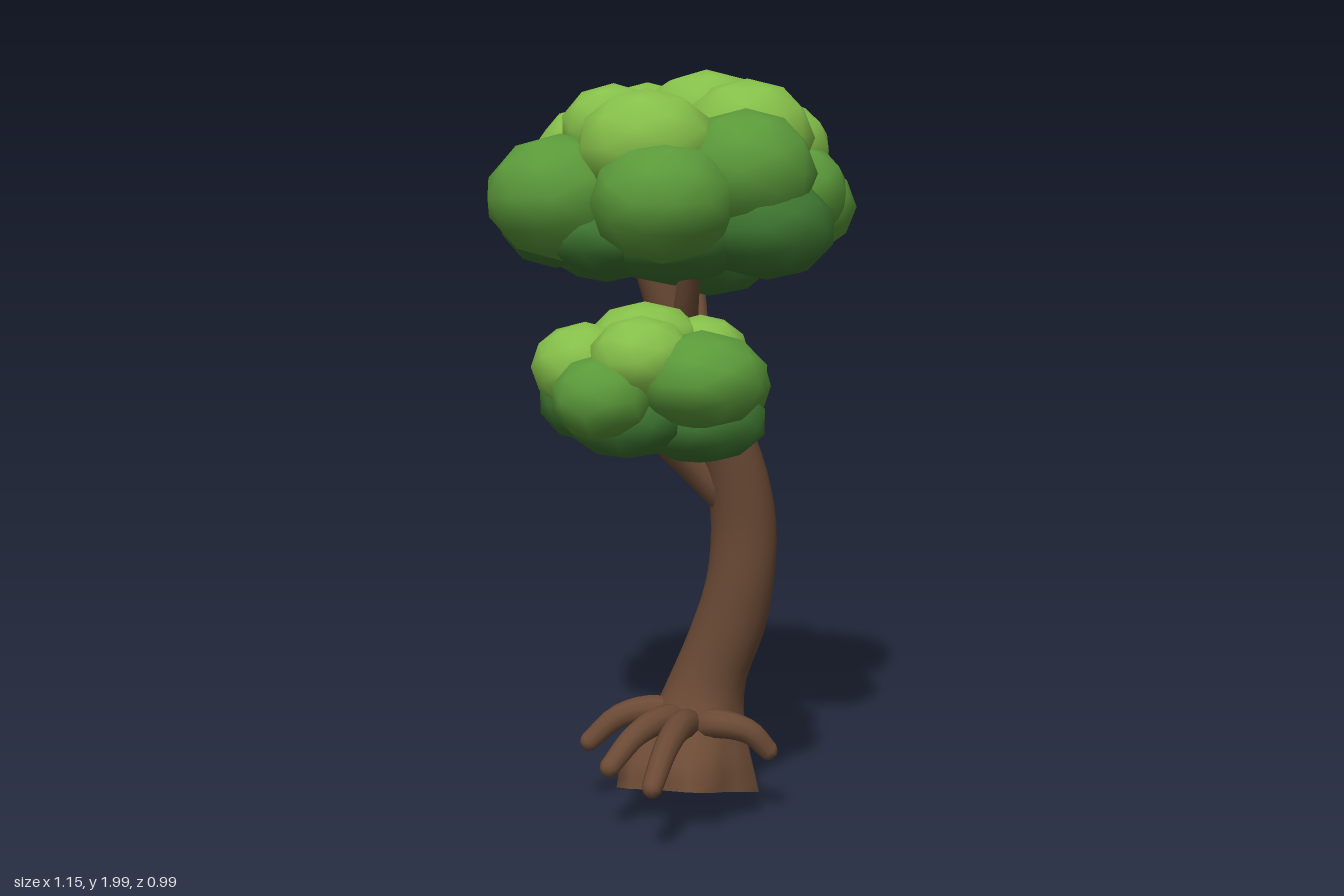
import * as THREE from 'three';
import { mergeVertices } from 'three/addons/utils/BufferGeometryUtils.js';

const V = (x, y, z) => new THREE.Vector3(x, y, z);
const paint = (color, side = THREE.FrontSide) => new THREE.MeshStandardMaterial({ color, side });
const BARK = paint(0x6b4a35), KNOT = paint(0x4a3024), MOSS = paint(0x7fb548, THREE.DoubleSide);
const LEAF = { light: paint(0x86c04a), mid: paint(0x5b9a3a), dark: paint(0x3d7530) };

function add(group, name, geometry, material) {
  const mesh = new THREE.Mesh(geometry, material);
  mesh.name = name;
  group.add(mesh);
  return mesh;
}

// Trunk stations from the ground up: x, y, z, radius
const STATIONS = [
  [0.015, 0.068, 0.07, 0.18], [0.025, 0.15, 0.06, 0.17], [0.07, 0.25, 0.06, 0.13],
  [0.1, 0.36, 0.078, 0.108], [0.12, 0.5, 0.128, 0.103], [0.12, 0.65, 0.17, 0.092],
  [0.115, 0.8, 0.183, 0.088], [0.083, 0.95, 0.178, 0.083], [0.035, 1.1, 0.15, 0.078],
  [-0.015, 1.23, 0.11, 0.067], [-0.06, 1.36, 0.072, 0.06], [-0.1, 1.52, 0.035, 0.055],
];
const spine = new THREE.CatmullRomCurve3(STATIONS.map(([x, y, z]) => V(x, y, z)));
const girth = new THREE.CatmullRomCurve3(STATIONS.map((s, i) => V(s[3], i * 0.1, 0)));

// Point on the bark: leaning footprint and five flutes that fade out upward
function barkPoint(t, a, lift = 0) {
  const foot = Math.max(0, 1 - t * 4);
  const r = girth.getPoint(t).x * (1 + 0.15 * foot * Math.cos(5 * a + 0.6)) + lift;
  const x = r * Math.cos(a), z = r * Math.sin(a);
  const p = spine.getPoint(t);
  return V(p.x + x, p.y - foot * (0.27 * x - 0.15 * z), p.z + z);
}

function indexed(points, index) {
  const g = new THREE.BufferGeometry().setFromPoints(points);
  g.setIndex(index);
  g.computeVertexNormals();
  return g;
}

function trunkGeometry(rows = 33, sides = 20) {
  const points = [], index = [];
  for (let i = 0; i <= rows; i++) {
    for (let j = 0; j < sides; j++) points.push(barkPoint(i / rows, (j / sides) * Math.PI * 2));
  }
  for (let i = 0; i < rows; i++) {
    for (let j = 0; j < sides; j++) {
      const k = (j + 1) % sides;
      const a = i * sides + j, b = i * sides + k, c = a + sides, d = b + sides;
      index.push(a, c, b, b, c, d);
    }
  }
  // Closed ends, each with its own rim so the edge stays sharp
  for (const row of [0, rows]) {
    const rim = points.length;
    for (let j = 0; j < sides; j++) points.push(points[row * sides + j].clone());
    points.push(spine.getPoint(row / rows));
    for (let j = 0; j < sides; j++) {
      const a = rim + j, b = rim + ((j + 1) % sides);
      if (row === 0) index.push(rim + sides, a, b);
      else index.push(rim + sides, b, a);
    }
  }
  return indexed(points, index);
}

// Ragged oval that hugs the bark
function mossGeometry(rings = 5, sides = 18) {
  const t0 = 0.466, a0 = -0.85;
  const points = [barkPoint(t0, a0, 0.008)], index = [];
  for (let i = 1; i <= rings; i++) {
    for (let j = 0; j < sides; j++) {
      const a = (j / sides) * Math.PI * 2;
      const s = (i / rings) * (1 + 0.1 * Math.sin(a * 5));
      const lift = i === rings ? -0.002 : 0.007;
      points.push(barkPoint(t0 + 0.072 * s * Math.sin(a), a0 + 0.8 * s * Math.cos(a), lift));
      const k = (j + 1) % sides, row = 1 + (i - 1) * sides;
      if (i === 1) index.push(0, 1 + k, 1 + j);
      else index.push(row - sides + j, row - sides + k, row + j, row - sides + k, row + k, row + j);
    }
  }
  return indexed(points, index);
}

// Tapered, round-ended limb along a curve
function limb(group, name, points, r0, r1) {
  const curve = new THREE.CatmullRomCurve3(points);
  const segs = 12, sides = 10;
  const g = new THREE.TubeGeometry(curve, segs, 1, sides);
  const pos = g.attributes.position, p = V(0, 0, 0);
  for (let i = 0; i <= segs; i++) {
    const c = curve.getPointAt(i / segs), r = r0 + (r1 - r0) * (i / segs);
    for (let j = 0; j <= sides; j++) {
      const k = i * (sides + 1) + j;
      p.fromBufferAttribute(pos, k).sub(c).multiplyScalar(r).add(c);
      pos.setXYZ(k, p.x, p.y, p.z);
    }
  }
  add(group, name, g, BARK);
  // Rounded caps close both ends
  const cap = (suffix, at, r) => add(group, name + suffix, new THREE.SphereGeometry(r, 10, 6), BARK).position.copy(at);
  cap('Base', points[0], r0);
  cap('Tip', points[points.length - 1], r1);
}

// Smooth-shaded low-poly leaf clump
function leafGeometry() {
  const g = new THREE.IcosahedronGeometry(1, 1);
  g.deleteAttribute('uv');
  g.deleteAttribute('normal');
  const m = mergeVertices(g, 1e-4);
  m.computeVertexNormals();
  return m;
}

// Clumps: x, y, z, width radius, height radius
const CROWN = {
  light: [
    [0.18, 1.82, -0.18, 0.2, 0.155], [-0.08, 1.84, -0.1, 0.14, 0.12], [-0.18, 1.79, 0.08, 0.18, 0.15],
    [0.14, 1.86, 0.04, 0.18, 0.14], [0.09, 1.82, 0.2, 0.175, 0.15], [0.29, 1.79, 0.14, 0.17, 0.14],
    [-0.02, 1.78, -0.22, 0.15, 0.13],
  ],
  mid: [
    [-0.25, 1.67, -0.14, 0.195, 0.16], [0.1, 1.66, -0.285, 0.215, 0.17], [0.38, 1.64, 0.14, 0.195, 0.145],
    [-0.255, 1.66, 0.18, 0.18, 0.15], [-0.04, 1.73, 0.28, 0.18, 0.16], [0.25, 1.68, 0.25, 0.14, 0.13],
    [0.34, 1.72, -0.09, 0.165, 0.14],
  ],
  dark: [
    [0, 1.595, 0.32, 0.175, 0.13], [-0.1, 1.61, -0.28, 0.15, 0.13], [0.32, 1.58, -0.16, 0.155, 0.12],
    [0.05, 1.66, 0, 0.34, 0.18], [0.1, 1.54, 0.08, 0.19, 0.13], [-0.12, 1.57, 0.12, 0.19, 0.12],
    [0.2, 1.55, -0.1, 0.18, 0.12], [0.02, 1.56, -0.2, 0.18, 0.12], [0.22, 1.56, 0.18, 0.17, 0.11],
    [-0.2, 1.57, -0.02, 0.16, 0.1],
  ],
};
const SIDE_CROWN = {
  light: [
    [-0.37, 1.29, 0.2, 0.13, 0.105], [-0.22, 1.31, 0.1, 0.15, 0.105], [-0.12, 1.28, 0.2, 0.125, 0.1],
    [-0.36, 1.26, 0.02, 0.135, 0.11],
  ],
  mid: [
    [-0.29, 1.24, 0.32, 0.165, 0.12], [-0.45, 1.2, 0.14, 0.125, 0.105], [-0.075, 1.2, 0.23, 0.13, 0.115],
    [-0.11, 1.21, -0.02, 0.125, 0.1],
  ],
  dark: [
    [-0.18, 1.12, 0.24, 0.17, 0.105], [-0.25, 1.16, -0.05, 0.135, 0.11],
    [-0.35, 1.14, 0.14, 0.15, 0.1], [-0.24, 1.2, 0.14, 0.2, 0.13],
  ],
};

function foliage(name, clumps, geometry) {
  const group = new THREE.Group();
  group.name = name;
  for (const tone of Object.keys(clumps)) {
    clumps[tone].forEach(([x, y, z, w, h], i) => {
      const leaf = add(group, tone + 'LeafClump', geometry, LEAF[tone]);
      leaf.position.set(x, y, z);
      leaf.scale.set(w, h, w);
      leaf.rotation.y = i * 1.3;
    });
  }
  return group;
}

export function createModel() {
  const tree = new THREE.Group();
  tree.name = 'tree';
  add(tree, 'trunk', trunkGeometry(), BARK);
  add(tree, 'mossPatch', mossGeometry(), MOSS);
  // Knot on the left side of the trunk
  const knot = add(tree, 'knot', new THREE.SphereGeometry(0.02, 10, 8), KNOT);
  knot.position.copy(barkPoint(0.495, 0.15, -0.01));
  // Roots arch out of the trunk and droop to blunt tips
  const tips = [[-0.33, 0.2, 0.2], [0.26, 0.2, -0.15], [-0.11, 0.19, -0.17], [-0.27, 0.2, 0.02]];
  for (const t of tips) {
    const start = V(0.06, 0.24, 0.07), tip = V(...t);
    const near = start.clone().lerp(tip, 0.38).setY(0.283);
    const far = start.clone().lerp(tip, 0.72).setY(0.262);
    limb(tree, 'root', [start, near, far, tip], 0.045, 0.027);
  }
  // Front root sweeps sideways
  limb(tree, 'root', [V(0.01, 0.25, 0.1), V(0, 0.277, 0.18), V(0.045, 0.255, 0.25), V(0.085, 0.2, 0.285)], 0.045, 0.027);
  // Branches reaching into the foliage
  limb(tree, 'branch', [V(0, 1.2, 0.1), V(0.08, 1.27, 0.05), V(0.17, 1.35, -0.01), V(0.24, 1.5, -0.07)], 0.04, 0.026);
  limb(tree, 'branch', [V(0.07, 0.88, 0.15), V(0, 0.97, 0.09), V(-0.08, 1.05, 0.045), V(-0.18, 1.15, 0.01)], 0.046, 0.032);
  limb(tree, 'branch', [V(-0.03, 1.24, 0.1), V(-0.1, 1.36, 0.14), V(-0.16, 1.52, 0.2)], 0.04, 0.026);

  const leaf = leafGeometry();
  tree.add(foliage('crown', CROWN, leaf), foliage('sideCrown', SIDE_CROWN, leaf));
  return tree;
}
